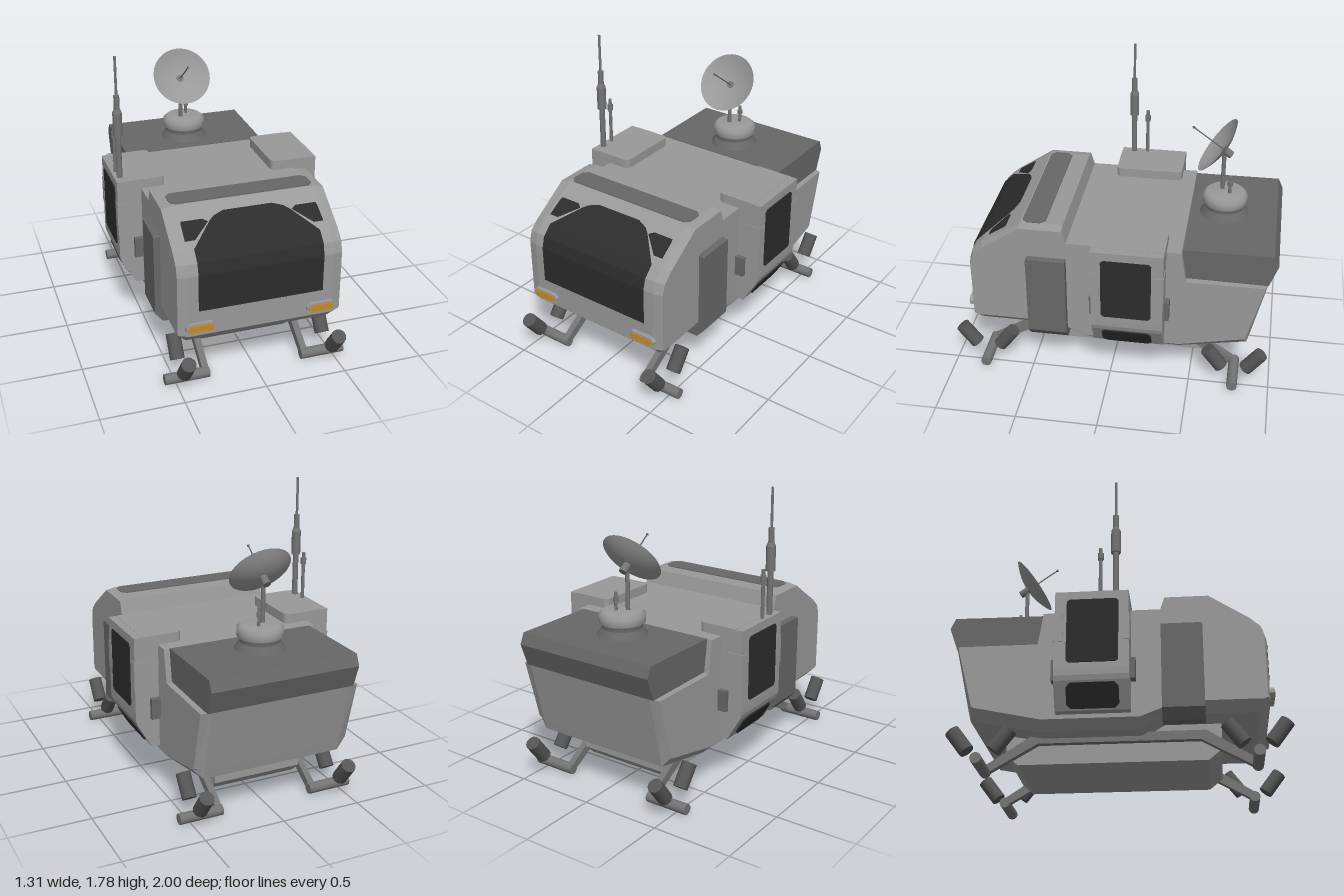
import * as THREE from 'three';

const mat = (name, color, extra = {}) => {
  const m = new THREE.MeshStandardMaterial({ color, ...extra });
  m.name = name;
  return m;
};

// Joins matching (z, y) profiles placed at rising x positions, with closed ends
function loft(sections) {
  const area = THREE.ShapeUtils.area(sections[0][1].map(p => new THREE.Vector2(...p)));
  const secs = sections.map(([x, pts]) => [x, area < 0 ? [...pts].reverse() : pts]);
  const pos = [];
  const put = (s, i) => pos.push(secs[s][0], secs[s][1][i][1], secs[s][1][i][0]);
  const n = secs[0][1].length, last = secs.length - 1;
  for (let s = 0; s < last; s++) {
    for (let i = 0; i < n; i++) {
      const j = (i + 1) % n;
      put(s, i); put(s + 1, j); put(s, j);
      put(s, i); put(s + 1, i); put(s + 1, j);
    }
  }
  for (const s of [0, last]) {
    const contour = secs[s][1].map(p => new THREE.Vector2(...p));
    for (const [a, b, c] of THREE.ShapeUtils.triangulateShape(contour, [])) {
      if (s === 0) { put(s, a); put(s, b); put(s, c); }
      else { put(s, a); put(s, c); put(s, b); }
    }
  }
  const g = new THREE.BufferGeometry();
  g.setAttribute('position', new THREE.Float32BufferAttribute(pos, 3));
  g.computeVertexNormals();
  return g;
}

// Rectangle with clipped corners, centred on the origin, extruded along +z
function clippedPlate(w, h, c, depth) {
  const a = w / 2, b = h / 2;
  const s = new THREE.Shape([[-a + c, -b], [a - c, -b], [a, -b + c], [a, b - c],
    [a - c, b], [-a + c, b], [-a, b - c], [-a, -b + c]].map(p => new THREE.Vector2(...p)));
  return new THREE.ExtrudeGeometry(s, { depth, bevelEnabled: false });
}

// Hull points: z, y on the centre section, then z, y on the side walls
const HULL = [
  [.88, .36, .865, .37], [.88, .75, .865, .75], [.86, .82, .845, .815], [.80, .88, .785, .87],
  [.55, 1.04, .55, 1.028], [.29, 1.04, .29, 1.028], [.265, .95, .265, .95], [-.43, .95, -.43, .95],
  [-.46, .75, -.46, .75], [-.95, .75, -.935, .75], [-.86, .36, -.835, .37], [-.845, .30, -.82, .36],
  [-.43, .22, -.43, .275], [.14, .22, .14, .275], [.27, .30, .36, .36], [.82, .30, .845, .36]];

// Depth of the cab face at height y
function faceZ(y) {
  for (let i = 0; i < 4; i++) {
    const [z0, y0] = HULL[i], [z1, y1] = HULL[i + 1];
    if (y <= y1) return z0 + (z1 - z0) * (y - y0) / (y1 - y0);
  }
  return .55;
}

// Thin pane hugging the cab face, given rows of [y, left x, right x]
function facePane(rows) {
  const pos = [], idx = [];
  rows.forEach(([y, l, r], i) => {
    const z = faceZ(y) + .006;
    pos.push(l, y + .003, z, r, y + .003, z);
    if (i) { const k = 2 * i; idx.push(k - 2, k - 1, k + 1, k - 2, k + 1, k); }
  });
  const g = new THREE.BufferGeometry();
  g.setAttribute('position', new THREE.Float32BufferAttribute(pos, 3));
  g.setIndex(idx);
  const flat = g.toNonIndexed();
  flat.computeVertexNormals();
  return flat;
}

export function createModel() {
  const root = new THREE.Group();
  root.name = 'explorerVehicle';
  const body = mat('bodyGrey', 0x999999);
  const dark = mat('darkGrey', 0x676767);
  const metal = mat('metalGrey', 0x747474);
  const thrusterGrey = mat('thrusterGrey', 0x555555);
  const glass = mat('blackGlass', 0x2c2c2c, { side: THREE.DoubleSide });
  const amber = mat('amberLamp', 0xcc8a1c);
  const dishGrey = mat('dishGrey', 0x999999, { side: THREE.DoubleSide });

  const add = (name, geo, m, x = 0, y = 0, z = 0, parent = root) => {
    const mesh = new THREE.Mesh(geo, m);
    mesh.name = name;
    mesh.position.set(x, y, z);
    parent.add(mesh);
    return mesh;
  };
  const box = (w, h, d) => new THREE.BoxGeometry(w, h, d);
  // Upright rod between two heights
  const rod = (name, m, x, z, y0, y1, r, top = r, sides = 16) =>
    add(name, new THREE.CylinderGeometry(top, r, y1 - y0, sides), m, x, (y0 + y1) / 2, z);

  // Main hull with chamfered sides
  const mid = HULL.map(p => [p[0], p[1]]), side = HULL.map(p => [p[2], p[3]]);
  add('hull', loft([[-.5, side], [-.44, mid], [.44, mid], [.5, side]]), body);
  const belly = [[.6, .31], [.6, .145], [.52, .08], [-.59, .08], [-.66, .145], [-.66, .31]];
  add('bellyTank', loft([[-.283, belly], [.283, belly]]), body);
  const deck = [[-.432, .755], [-.432, .953], [-.97, .957], [-1, .89], [-.95, .75]];
  add('rearDeck', loft([[-.465, deck], [.465, deck]]), dark);
  add('roofStrip', clippedPlate(.88, .14, .03, .006), dark, 0, 1.04, .47).rotation.x = -Math.PI / 2;

  // Windscreen
  const half = [[.52, .38], [.75, .38], [.82, .38], [.88, .38], [.97, .245], [.985, .215], [1, .15]];
  add('windscreen', facePane(half.map(([y, w]) => [y, -w, w])), glass);

  // Everything that is mirrored left to right
  const left = new THREE.Group();
  left.name = 'leftSide';
  const put = (name, geo, m, x, y, z) => add(name, geo, m, x, y, z, left);

  put('cornerWindow', facePane([[.91, .36, .42], [.968, .255, .417], [.98, .285, .412]]), glass);
  put('lampHousing', clippedPlate(.18, .06, .02, .03), body, .37, .42, .875);
  put('lamp', clippedPlate(.155, .04, .014, .006), amber, .37, .42, .903);

  const panel = (top, bottom) => [[.51, bottom], [.51, top - .01], [.50, top], [.267, top], [.267, bottom]];
  put('sidePanel', loft([[.42, panel(.84, .25)], [.49, panel(.84, .25)], [.54, panel(.835, .31)]]), dark);

  // Side pod: bay, cap with clipped inner corners, windows and fittings
  const podShape = new THREE.Shape([[.4, .3], [.55, .3], [.638, .45], [.648, .48], [.65, .52], [.65, 1.008], [.4, 1.008]]
    .map(p => new THREE.Vector2(...p)));
  put('podBay', new THREE.ExtrudeGeometry(podShape, { depth: .43, bevelEnabled: false }), body, 0, 0, -.34);
  const capShape = new THREE.Shape();
  capShape.moveTo(.6, -.09);
  capShape.lineTo(.6, .34);
  capShape.lineTo(.385, .34);
  capShape.quadraticCurveTo(.35, .34, .35, .305);
  capShape.lineTo(.35, -.055);
  capShape.quadraticCurveTo(.35, -.09, .385, -.09);
  put('podCap', new THREE.ExtrudeGeometry(capShape, { depth: .1, bevelEnabled: false, curveSegments: 4 }),
    body, 0, .91, 0).rotation.x = -Math.PI / 2;
  put('podWindow', clippedPlate(.3, .4, .015, .006), glass, .65, .755, -.12).rotation.y = Math.PI / 2;
  const lower = new THREE.Group();
  lower.name = 'lowerPodWindow';
  lower.position.set(.594, .375, -.12);
  lower.rotation.z = -Math.atan2(.088, .15);
  add('lowerPane', clippedPlate(.3, .15, .025, .008), glass, 0, 0, 0, lower).rotation.y = Math.PI / 2;
  left.add(lower);
  for (const [edge, d] of [[.09, 1], [-.34, -1]]) {
    put('podBracket', box(.104, .17, .052), body, .602, .775, edge - d * .022);
    put('podLatch', box(.08, .13, .03), dark, .517, .555, edge + d * .014);
  }

  // Landing gear: side rail, feet and paired thrusters
  const rail = [[.82, .05], [.51, .245], [-.495, .245], [-.795, .05], [-.765, .015], [-.465, .19], [.48, .19], [.785, .015]];
  put('landingRail', loft([[.295, rail], [.335, rail]]), metal);
  for (const z of [.797, -.775]) {
    put('foot', new THREE.CylinderGeometry(.033, .033, .275, 12), metal, .43, .034, z).rotation.z = Math.PI / 2;
    for (const d of [-1, 1]) {
      const t = put('thruster', new THREE.CylinderGeometry(.045, .045, .155, 12), thrusterGrey, .465, .17, z + d * .122);
      t.rotation.x = d * .65;
    }
  }
  const right = left.clone();
  right.name = 'rightSide';
  right.scale.x = -1;
  root.add(left, right);

  // Antennas on the right pod
  rod('antennaBase', metal, -.614, .012, 1, 1.29, .018);
  rod('antennaCoil', metal, -.614, .012, 1.28, 1.43, .029);
  rod('antennaCollar', metal, -.614, .012, 1.43, 1.455, .029, .018);
  rod('antennaNeck', metal, -.614, .012, 1.45, 1.54, .018);
  rod('antennaWhip', metal, -.614, .012, 1.54, 1.78, .008);
  rod('shortAntenna', metal, -.62, -.078, 1, 1.31, .011);
  rod('shortAntennaKnob', metal, -.62, -.078, 1.235, 1.275, .018);

  // Turret carrying the dish
  rod('turretSkirt', dark, -.013, -.643, .95, 1, .155, .12, 32);
  rod('turretNeck', dark, -.013, -.643, 1, 1.03, .12, .12, 32);
  const ring = [[0, 1.02], [.125, 1.02], [.138, 1.035], [.138, 1.08], [.115, 1.1], [0, 1.1]];
  add('turretTop', new THREE.LatheGeometry(ring.map(p => new THREE.Vector2(...p)), 32), body, -.013, 0, -.643);
  rod('dishMast', metal, -.04, -.622, 1.1, 1.35, .013);
  rod('sensorMast', metal, .01, -.67, 1.1, 1.21, .01);
  rod('sensorKnob', metal, .01, -.67, 1.155, 1.18, .016);

  // Dish with its feed rod, tilted up and forward
  const dish = new THREE.Group();
  dish.name = 'dish';
  dish.position.set(-.04, 1.4, -.578);
  dish.rotation.x = Math.atan2(.81, .587);
  root.add(dish);
  const bowl = [];
  for (let i = 0; i <= 8; i++) bowl.push(new THREE.Vector2(.191 * i / 8, -.052 * (1 - (i / 8) ** 2)));
  add('bowl', new THREE.LatheGeometry(bowl, 32), dishGrey, 0, 0, 0, dish);
  add('dishHub', new THREE.CylinderGeometry(.024, .024, .06, 16), metal, 0, -.078, 0, dish);
  add('feedRod', new THREE.CylinderGeometry(.004, .004, .235, 8), dark, 0, .066, 0, dish);
  add('feedTip', new THREE.SphereGeometry(.008, 10, 8), dark, 0, .183, 0, dish);
  return root;
}
